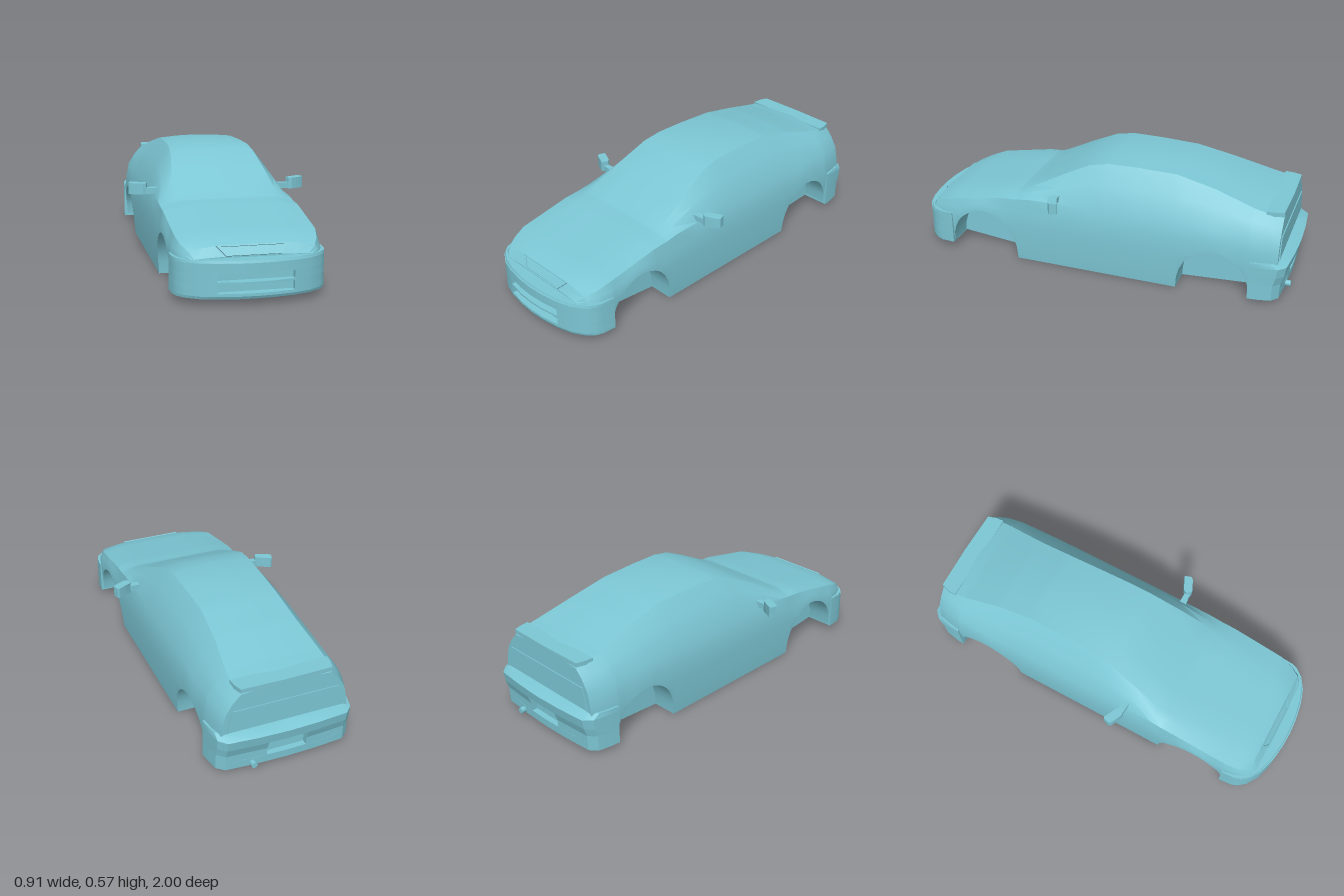
import * as THREE from 'three';
import { toCreasedNormals } from 'three/addons/utils/BufferGeometryUtils.js';

const paint = new THREE.MeshStandardMaterial({ color: 0x7cc6d4 });
paint.name = 'bodyPaint';

function part(name, geometry, crease = 0.5) {
  const mesh = new THREE.Mesh(toCreasedNormals(geometry, crease), paint);
  mesh.name = name;
  return mesh;
}

// Body stations, front to back: z, half width, shoulder y, top edge x, top edge y
const STATIONS = [
  [0.93, 0.275, 0.205, 0.12, 0.21],
  [0.9, 0.31, 0.235, 0.165, 0.253],
  [0.85, 0.335, 0.255, 0.175, 0.277],
  [0.78, 0.35, 0.28, 0.185, 0.294],
  [0.5, 0.354, 0.33, 0.23, 0.349],
  [0.42, 0.354, 0.335, 0.245, 0.36],
  [0.35, 0.354, 0.345, 0.255, 0.388],
  [0.2, 0.354, 0.35, 0.237, 0.466],
  [0.05, 0.354, 0.35, 0.217, 0.537],
  [-0.05, 0.354, 0.35, 0.21, 0.555],
  [-0.2, 0.354, 0.35, 0.205, 0.556],
  [-0.4, 0.354, 0.35, 0.2, 0.549],
  [-0.6, 0.353, 0.345, 0.21, 0.506],
  [-0.8, 0.349, 0.34, 0.235, 0.449],
  [-0.88, 0.337, 0.332, 0.238, 0.432],
  [-0.94, 0.32, 0.32, 0.225, 0.417],
];

const ARCHES = [
  { z: 0.595, r: 0.185, top: 0.245 },
  { z: -0.628, r: 0.183, top: 0.235 },
];
const WELL_X = 0.21;
const { lerp, clamp, mapLinear, smoothstep } = THREE.MathUtils;

function station(z) {
  let i = 0;
  while (i < STATIONS.length - 2 && z < STATIONS[i + 1][0]) i++;
  const a = STATIONS[i], b = STATIONS[i + 1];
  const t = (z - a[0]) / (b[0] - a[0]);
  return a.map((v, k) => lerp(v, b[k], t));
}

// Underside height along the car
function floorY(z) {
  if (z > 0.41) return mapLinear(Math.min(z, 0.78), 0.41, 0.78, 0, 0.037);
  if (z < -0.445) return mapLinear(Math.max(z, -0.811), -0.445, -0.811, 0, 0.022);
  return 0;
}

// Lower edge of the side, lifted over the wheels
function sillY(z) {
  const y = floorY(z);
  for (const a of ARCHES) {
    const u = Math.abs(z - a.z) / a.r;
    if (u < 0.9999) return y + (a.top - y) * Math.pow(1 - u * u, 0.45);
  }
  return y;
}

// Closed cross-section, anticlockwise from the bottom centre
function section(z) {
  const [, w, sy, tx, ty] = station(z);
  const sx = w - 0.022;
  const cy = ty + lerp(0.001, 0.012, smoothstep(-z, -0.42, -0.3));
  const fy = floorY(z), ay = sillY(z), my = Math.max(0.2, ay + 0.005);
  const half = [
    [0, fy], [WELL_X, fy], [WELL_X, ay],
    [lerp(w - 0.015, w, clamp(ay / 0.2, 0, 1)), ay], [w, my],
    [lerp(w, sx, 0.4), lerp(my, sy, 0.5)], [sx, sy],
    [lerp(sx, tx, 0.48), lerp(sy, ty, 0.58)], [tx, ty],
    [tx * 0.5, lerp(ty, cy, 0.75)], [0, cy],
  ];
  return [...half, ...half.slice(1, -1).reverse().map(([x, y]) => [-x, y])];
}

function bodyGeometry() {
  const zs = STATIONS.map((s) => s[0]);
  for (const a of ARCHES) {
    for (let k = 0; k <= 14; k++) zs.push(a.z + a.r * Math.cos((Math.PI * k) / 14));
  }
  zs.sort((a, b) => b - a);
  const rows = zs.filter((z, i) => i === 0 || zs[i - 1] - z > 0.0005);
  const pos = [], index = [];
  let n = 0;
  for (const z of rows) {
    const ring = section(z);
    n = ring.length;
    for (const [x, y] of ring) pos.push(x, y, z);
  }
  for (let i = 0; i < rows.length - 1; i++) {
    for (let j = 0; j < n; j++) {
      const a = i * n + j, b = i * n + ((j + 1) % n);
      index.push(a, a + n, b, b, a + n, b + n);
    }
  }
  const last = (rows.length - 1) * n;
  for (let j = 1; j < n - 1; j++) {
    index.push(0, j, j + 1, last, last + j + 1, last + j);
  }
  const g = new THREE.BufferGeometry();
  g.setAttribute('position', new THREE.Float32BufferAttribute(pos, 3));
  g.setIndex(index);
  return g;
}

// Upright prism from a plan outline of [x, z] points
function prism(points, y0, y1) {
  const shape = new THREE.Shape(points.map(([x, z]) => new THREE.Vector2(x, -z)));
  const g = new THREE.ExtrudeGeometry(shape, { depth: y1 - y0, bevelEnabled: false });
  return g.rotateX(-Math.PI / 2).translate(0, y0, 0);
}

// Mirrored layer: half outline [x, depth] from a base z, depth scaled s0 to s1 upwards
function layer(half, base, dir, y0, y1, s0 = 1, s1 = 1) {
  const right = half.map(([x, d]) => [x, d * dir]);
  const left = right.filter(([x]) => x > 0).reverse().map(([x, z]) => [-x, z]);
  const g = prism([...right, ...left], y0, y1);
  const p = g.attributes.position;
  for (let i = 0; i < p.count; i++) {
    p.setZ(i, base + p.getZ(i) * (p.getY(i) < (y0 + y1) / 2 ? s0 : s1));
  }
  return g;
}

function frontBumper() {
  const group = new THREE.Group();
  group.name = 'frontBumper';
  const corner = [[0.355, 0], [0.35, 0.07], [0.338, 0.105], [0.31, 0.14], [0.25, 0.178], [0.175, 0.201]];
  const solid = [...corner, [0.08, 0.216], [0, 0.22]];
  const slot = [...corner, [0.175, 0.175]];
  const add = (name, half, ...heights) => group.add(part(name, layer(half, 0.78, 1, ...heights)));
  add('bumperChin', solid, 0.032, 0.045, 0.97, 1);
  add('bumperLower', solid, 0.045, 0.058);
  add('lowerSlot', slot, 0.058, 0.1);
  add('bumperBar', solid, 0.1, 0.11);
  add('upperSlot', slot, 0.11, 0.147);
  add('bumperUpper', solid, 0.147, 0.193);
  add('bumperLip', solid, 0.193, 0.204, 0.97, 0.95);
  return group;
}

function rearBumper() {
  const group = new THREE.Group();
  group.name = 'rearBumper';
  const corner = [[0.355, 0], [0.35, 0.06], [0.337, 0.135], [0.3, 0.172]];
  const solid = [...corner, [0.15, 0.185], [0, 0.19]];
  const recess = [...corner, [0.1, 0.187], [0.1, 0.15]];
  const add = (name, half, ...heights) => group.add(part(name, layer(half, -0.81, -1, ...heights)));
  add('rearSkirt', solid, 0.02, 0.06, 0.84, 0.85);
  add('plateRecessLower', recess, 0.06, 0.1, 0.85, 0.86);
  add('plateRecessUpper', recess, 0.1, 0.145, 0.86, 0.95);
  add('rearBand', solid, 0.145, 0.195, 0.95, 1);
  add('rearLedge', solid, 0.195, 0.218, 1, 0.74);
  return group;
}

function mirror(side) {
  const group = new THREE.Group();
  group.name = side > 0 ? 'leftMirror' : 'rightMirror';
  const flip = (pts) => pts.map(([x, z]) => [x * side, z]);
  group.add(part('mirrorHousing', prism(flip([[0.36, 0.185], [0.37, 0.172], [0.435, 0.14], [0.443, 0.143],
    [0.453, 0.175], [0.44, 0.188], [0.385, 0.213], [0.37, 0.21]]), 0.353, 0.409)));
  group.add(part('mirrorArm', prism(flip([[0.31, 0.18], [0.375, 0.182], [0.375, 0.208], [0.31, 0.215]]), 0.356, 0.386)));
  return group;
}

// Flat trapezoid plate facing +z, optionally hollowed to a rim
function trapezoid(bottom, top, h, depth, rim = 0) {
  const outline = (b, t, y0, y1) => [[-b, y0], [b, y0], [t, y1], [-t, y1]].map(([x, y]) => new THREE.Vector2(x, y));
  const shape = new THREE.Shape(outline(bottom, top, 0, h));
  if (rim) shape.holes.push(new THREE.Path(outline(bottom - rim, top - rim * 1.5, rim * 0.4, h - rim * 0.4)));
  return new THREE.ExtrudeGeometry(shape, { depth, bevelEnabled: false });
}

export function createModel() {
  const car = new THREE.Group();
  car.name = 'carBody';
  car.add(part('bodyShell', bodyGeometry(), 0.45), frontBumper(), rearBumper(), mirror(1), mirror(-1));

  // Raised rim round the nose opening
  const grille = trapezoid(0.125, 0.165, 0.05, 0.007, 0.014);
  car.add(part('grilleFrame', grille.rotateX(-0.6).translate(0, 0.21, 0.929)));

  // Tail lip and light panel
  const lip = [[0.243, 0], [0.24, 0.04], [0.226, 0.085], [0, 0.09]];
  car.add(part('spoiler', layer(lip, -0.855, -1, 0.424, 0.446)));
  car.add(part('tailPanel', trapezoid(0.29, 0.265, 0.11, 0.006).translate(0, 0.225, -0.945)));

  // Exhaust tip
  const pipe = new THREE.CylinderGeometry(0.015, 0.015, 0.07, 12).rotateX(Math.PI / 2);
  car.add(part('exhaust', pipe.translate(0.17, 0.035, -0.955)));
  return car;
}
